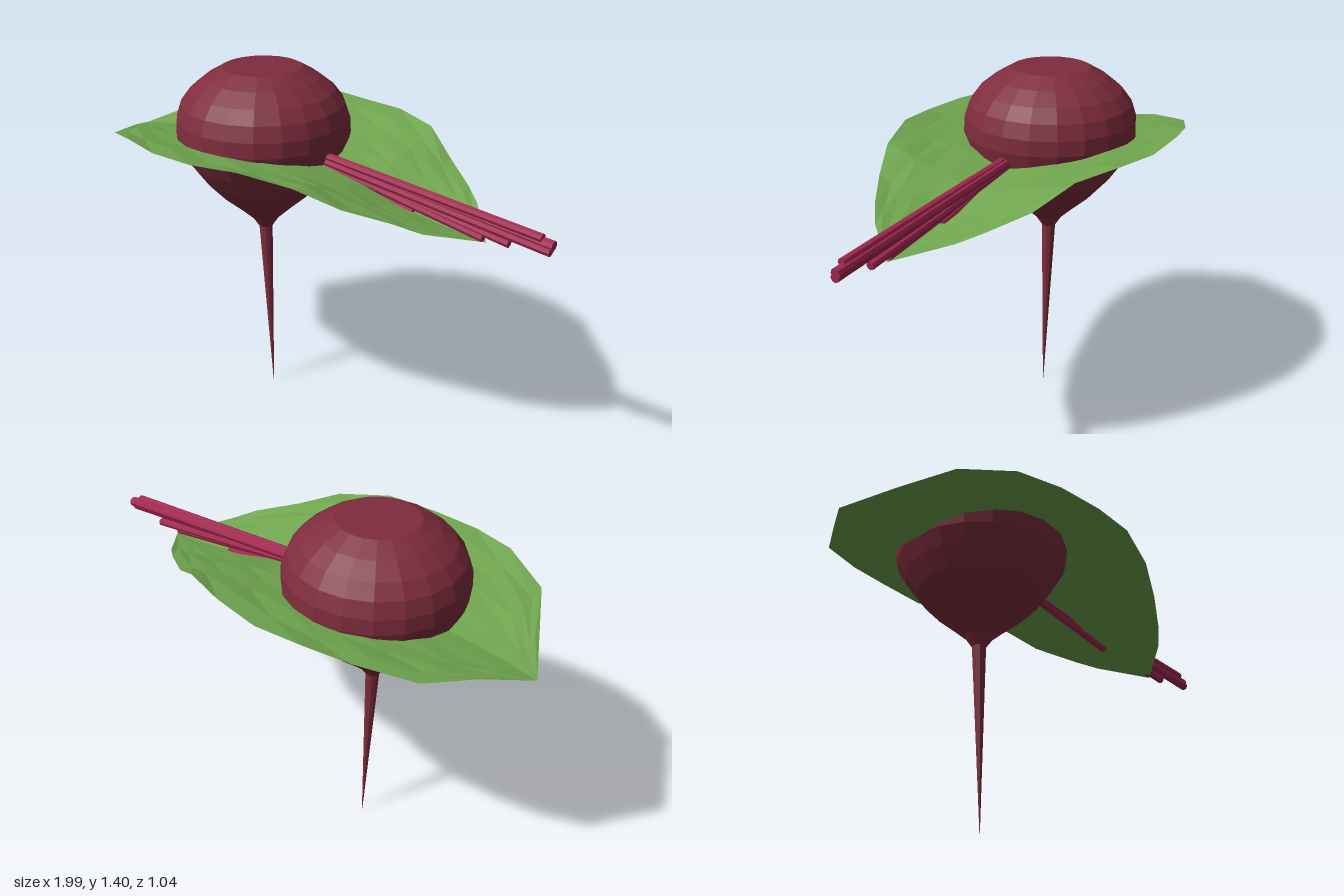
import * as THREE from 'three';

const material = (name, color, extra = {}) => {
  const m = new THREE.MeshStandardMaterial({ color, flatShading: true, ...extra });
  m.name = name;
  return m;
};

export function createModel() {
  const group = new THREE.Group();
  const bulbRed = material('beet red', 0x7f2d3d);
  const stalkPink = material('stalk pink', 0xa32850);
  const leafGreen = material('leaf green', 0x70a64f, { side: THREE.DoubleSide });
  const cx = -0.315;

  const add = (name, geometry, mat) => {
    const mesh = new THREE.Mesh(geometry, mat);
    mesh.name = name;
    group.add(mesh);
    return mesh;
  };

  // Round bulb with a flat cut top
  const bulbProfile = [
    [0, 0.72], [0.028, 0.73], [0.055, 0.77], [0.11, 0.82], [0.18, 0.88], [0.245, 0.95],
    [0.295, 1.02], [0.33, 1.08], [0.346, 1.14], [0.344, 1.2], [0.324, 1.26],
    [0.285, 1.312], [0.225, 1.36], [0.155, 1.4], [0, 1.4],
  ].map(([r, y]) => new THREE.Vector2(r, y));
  add('bulb', new THREE.LatheGeometry(bulbProfile, 20), bulbRed).position.x = cx;

  // Thin tap root, leaning slightly toward its point
  const root = new THREE.CylinderGeometry(0.028, 0.001, 0.74, 10, 6);
  root.translate(0, 0.37, 0);
  const rp = root.attributes.position;
  for (let i = 0; i < rp.count; i++) {
    rp.setX(i, rp.getX(i) + 0.025 * (1 - rp.getY(i) / 0.74));
  }
  add('tapRoot', root, bulbRed).position.x = cx;

  // Leaf blade stations: x, half width, midrib height, edge height
  const stations = [
    [-1, 0, 1.03, 1.03], [-0.89, 0.185, 1.05, 1.085], [-0.78, 0.37, 1.06, 1.13],
    [-0.58, 0.47, 1.075, 1.16], [-0.4, 0.515, 1.08, 1.17], [-0.2, 0.52, 1.08, 1.172],
    [0, 0.49, 1.07, 1.17], [0.2, 0.42, 1.035, 1.15], [0.35, 0.34, 0.995, 1.085],
    [0.5, 0.24, 0.97, 1.03], [0.58, 0.175, 0.96, 1.0], [0.73, 0, 0.95, 0.95],
  ];
  const across = 12;
  const positions = [];
  const index = [];
  stations.forEach(([x, w, mid, edge], i) => {
    for (let j = 0; j <= across; j++) {
      const t = (j / across) * 2 - 1;
      const a = Math.abs(t);
      const ripple = 0.008 * Math.sin(i * 2.1 + j * 1.7) * a * Math.min(1, w * 3);
      positions.push(x, mid + (edge - mid) * a + ripple, t * w);
      if (i && j) {
        const d = i * (across + 1) + j;
        const b = d - across - 1;
        index.push(b - 1, b, d, b - 1, d, d - 1);
      }
    }
  });
  const leaf = new THREE.BufferGeometry();
  leaf.setAttribute('position', new THREE.Float32BufferAttribute(positions, 3));
  leaf.setIndex(index);
  leaf.computeVertexNormals();
  add('leafBlade', leaf, leafGreen);

  // Bundle of stalks fanning from the bulb, each ending at its own length
  const stalks = [
    // start y, end x, end y, z, radius
    [1.11, 0.95, 1.03, 0.003, 0.016],
    [1.1, 0.99, 1.008, -0.005, 0.02],
    [1.09, 0.985, 0.988, 0.005, 0.017],
    [1.085, 0.82, 0.97, -0.003, 0.016],
    [1.08, 0.72, 0.965, 0.004, 0.016],
    [1.075, 0.42, 0.985, 0, 0.016],
  ];
  const stalkGroup = new THREE.Group();
  stalkGroup.name = 'stalks';
  group.add(stalkGroup);
  stalks.forEach(([y0, x1, y1, z, r]) => {
    const from = new THREE.Vector3(-0.05, y0, z);
    const dir = new THREE.Vector3(x1, y1, z).sub(from);
    const mesh = new THREE.Mesh(new THREE.CylinderGeometry(r, r, dir.length(), 8), stalkPink);
    mesh.name = 'stalk';
    mesh.position.copy(from).addScaledVector(dir, 0.5);
    mesh.quaternion.setFromUnitVectors(new THREE.Vector3(0, 1, 0), dir.normalize());
    stalkGroup.add(mesh);
  });

  return group;
}
